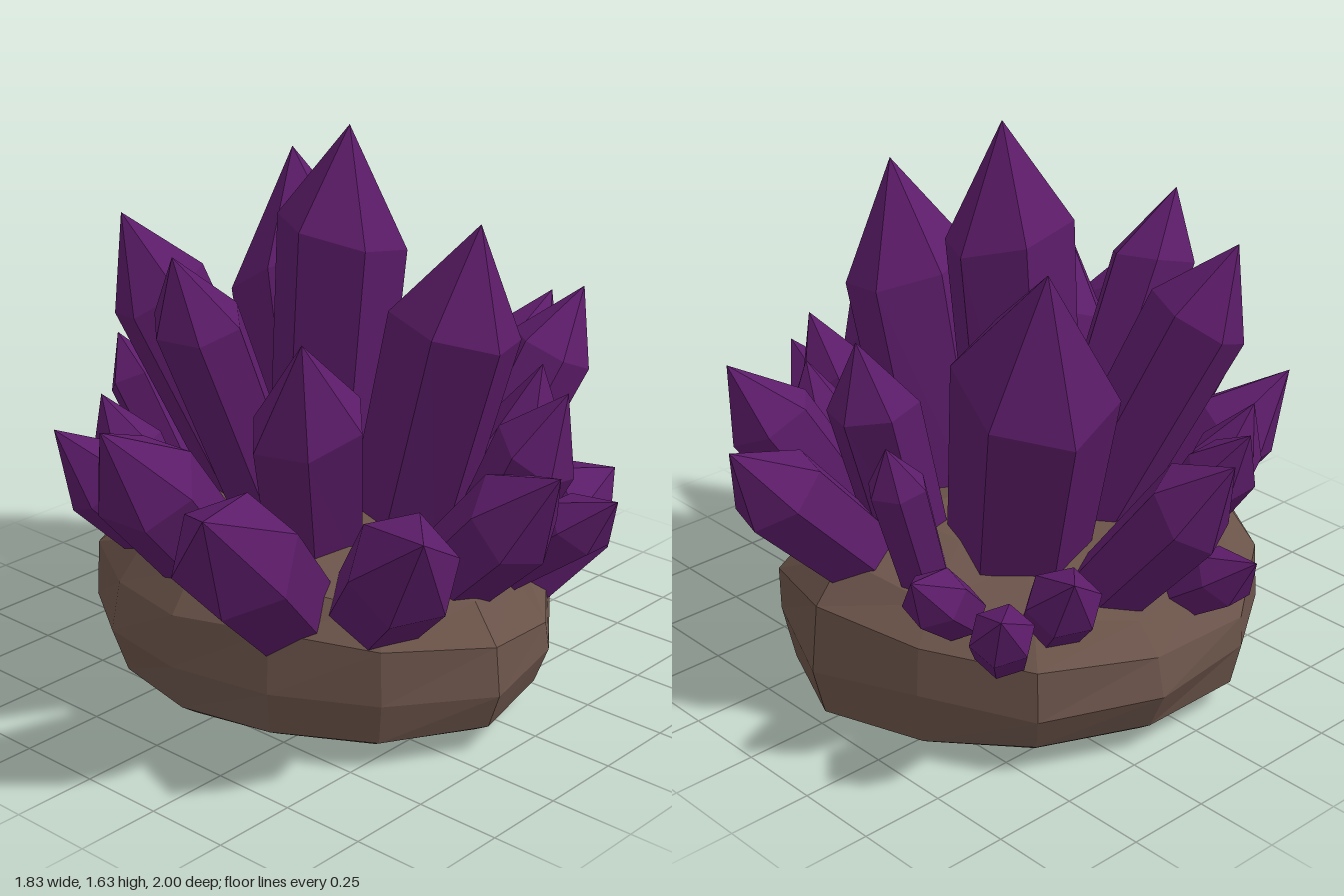
import * as THREE from 'three';

const rockMaterial = new THREE.MeshStandardMaterial({ color: 0x6a5349, flatShading: true });
const crystalMaterial = new THREE.MeshStandardMaterial({ color: 0x5c1c69, flatShading: true });

// Small seeded generator for natural irregularity
function seeded(seed) {
  let s = seed;
  return () => (s = (s * 16807) % 2147483647) / 2147483647;
}

// Six-sided pointed prism from base to tip, widening towards the shoulder;
// point is the length of the pointed end in radii
function makeCrystal([base, tip, radius, point = 1.65], rand) {
  const a = new THREE.Vector3(...base);
  const axis = new THREE.Vector3(...tip).sub(a);
  const h = axis.length();
  const profile = [[0, 0], [radius * 0.87, 0], [radius, h - radius * point], [0, h]];
  const geo = new THREE.LatheGeometry(profile.map(p => new THREE.Vector2(...p)), 6, rand() * Math.PI);
  // Slant the shoulder ring so the facets differ
  const pos = geo.attributes.position;
  const slant = rand() * Math.PI * 2;
  for (let i = 0; i < pos.count; i++) {
    if (i % 4 !== 2) continue;
    const angle = Math.atan2(pos.getZ(i), pos.getX(i));
    pos.setY(i, pos.getY(i) + radius * 0.2 * Math.cos(angle - slant));
  }
  const mesh = new THREE.Mesh(geo, crystalMaterial);
  mesh.position.copy(a);
  mesh.quaternion.setFromUnitVectors(new THREE.Vector3(0, 1, 0), axis.normalize());
  return mesh;
}

// Boulder lofted from irregular rings, flat underneath
function makeRock() {
  const rand = seeded(77);
  // Outline radii and crown lift, starting at the front and turning towards +x
  const outline = [0.7, 0.69, 0.74, 0.77, 0.69, 0.64, 0.73, 0.775, 0.75, 0.8, 0.8, 0.79, 0.73, 0.7];
  const crown = [0.04, 0.03, 0, -0.02, -0.06, -0.08, -0.02, 0.03, 0, -0.03, -0.05, -0.04, 0, 0.03];
  const n = outline.length;
  // Height and width factor of each ring
  const rings = [[0.045, 0.87], [0.08, 0.94], [0.2, 0.995], [0.35, 0.97], [0.45, 0.84], [0.53, 0.56]];
  const pts = [0, 0.04, 0];
  rings.forEach(([y, f], k) => {
    outline.forEach((radius, i) => {
      const t = (i / n) * Math.PI * 2;
      const r = radius * f * (0.985 + rand() * 0.03);
      const x = Math.sin(t) * r;
      const z = Math.cos(t) * r;
      const lump = k > 1 ? (rand() - 0.5) * 0.04 : 0;
      const lift = k > 2 ? crown[i] : 0;
      const dip = k < 2 && z < -0.5 ? -0.045 : 0;
      pts.push(x, y + lump + lift + dip, z);
    });
  });
  pts.push(0, 0.54, 0);
  const last = pts.length / 3 - 1;
  const top = 1 + (rings.length - 1) * n;
  const index = [];
  for (let i = 0; i < n; i++) {
    const j = (i + 1) % n;
    index.push(0, 1 + j, 1 + i, top + i, top + j, last);
    for (let k = 0; k < rings.length - 1; k++) {
      const a = 1 + k * n + i, b = 1 + k * n + j;
      index.push(a, b, b + n, a, b + n, a + n);
    }
  }
  const geo = new THREE.BufferGeometry();
  geo.setAttribute('position', new THREE.Float32BufferAttribute(pts, 3));
  geo.setIndex(index);
  geo.computeVertexNormals();
  const mesh = new THREE.Mesh(geo, rockMaterial);
  mesh.name = 'rockBase';
  return mesh;
}

// Each entry: base point, tip point, shoulder radius, optional point length
const tallCrystals = [
  [[-0.09, 0.4, -0.03], [0.01, 1.63, -0.04], 0.19],
  [[-0.21, 0.4, -0.19], [-0.53, 1.42, -0.38], 0.23],
  [[0.16, 0.4, -0.1], [0.46, 1.42, -0.07], 0.195],
  [[-0.2, 0.4, 0.06], [-0.57, 1.34, 0.3], 0.15],
  [[-0.1, 0.4, 0.13], [-0.13, 1.34, 0.52], 0.13],
  [[0.12, 0.4, 0.22], [0.29, 1.17, 0.46], 0.17],
  [[0, 0.4, -0.39], [-0.02, 1.14, -0.6], 0.13],
  [[0.16, 0.4, -0.42], [0.28, 1.04, -0.81], 0.13],
];
const outerCrystals = [
  [[-0.05, 0.47, 0.48], [-0.04, 0.96, 0.88], 0.15],
  [[0.2, 0.34, 0.41], [0.46, 0.89, 1.0], 0.17],
  [[0.37, 0.35, 0.28], [0.88, 0.84, 0.66], 0.155],
  [[-0.27, 0.43, 0.39], [-0.45, 0.81, 0.69], 0.14],
  [[-0.43, 0.4, 0.28], [-0.55, 0.82, 0.42], 0.105],
  [[-0.5, 0.4, -0.12], [-0.92, 0.92, -0.08], 0.13],
  [[-0.45, 0.4, 0.12], [-0.78, 0.89, 0.14], 0.1],
  [[-0.6, 0.36, 0.06], [-0.9, 0.58, 0.05], 0.09],
  [[0.45, 0.4, 0.08], [0.9, 0.86, 0.13], 0.14],
  [[0.48, 0.38, -0.14], [0.91, 0.72, -0.12], 0.1],
  [[0.38, 0.38, -0.2], [0.64, 0.93, -0.25], 0.13],
  [[0.3, 0.38, -0.37], [0.4, 0.91, -0.45], 0.145],
  [[0.42, 0.31, -0.32], [0.6, 0.61, -0.55], 0.16, 0.9],
  [[0.03, 0.4, -0.5], [0.02, 0.93, -1.0], 0.135],
];
const smallCrystals = [
  [[-0.18, 0.42, -0.5], [-0.22, 0.92, -0.67], 0.085],
  [[-0.36, 0.43, -0.54], [-0.43, 0.64, -0.77], 0.09],
  [[-0.52, 0.38, -0.53], [-0.7, 0.61, -0.7], 0.09],
  [[-0.5, 0.38, -0.33], [-0.74, 0.65, -0.48], 0.105],
];

export function createModel() {
  const model = new THREE.Group();
  model.name = 'crystalCluster';
  model.add(makeRock());
  const rand = seeded(1234);
  const sets = { tallCrystal: tallCrystals, outerCrystal: outerCrystals, smallCrystal: smallCrystals };
  for (const [name, list] of Object.entries(sets)) {
    const group = new THREE.Group();
    group.name = name + 's';
    list.forEach((entry, i) => {
      const crystal = makeCrystal(entry, rand);
      crystal.name = name + (i + 1);
      group.add(crystal);
    });
    model.add(group);
  }
  return model;
}
